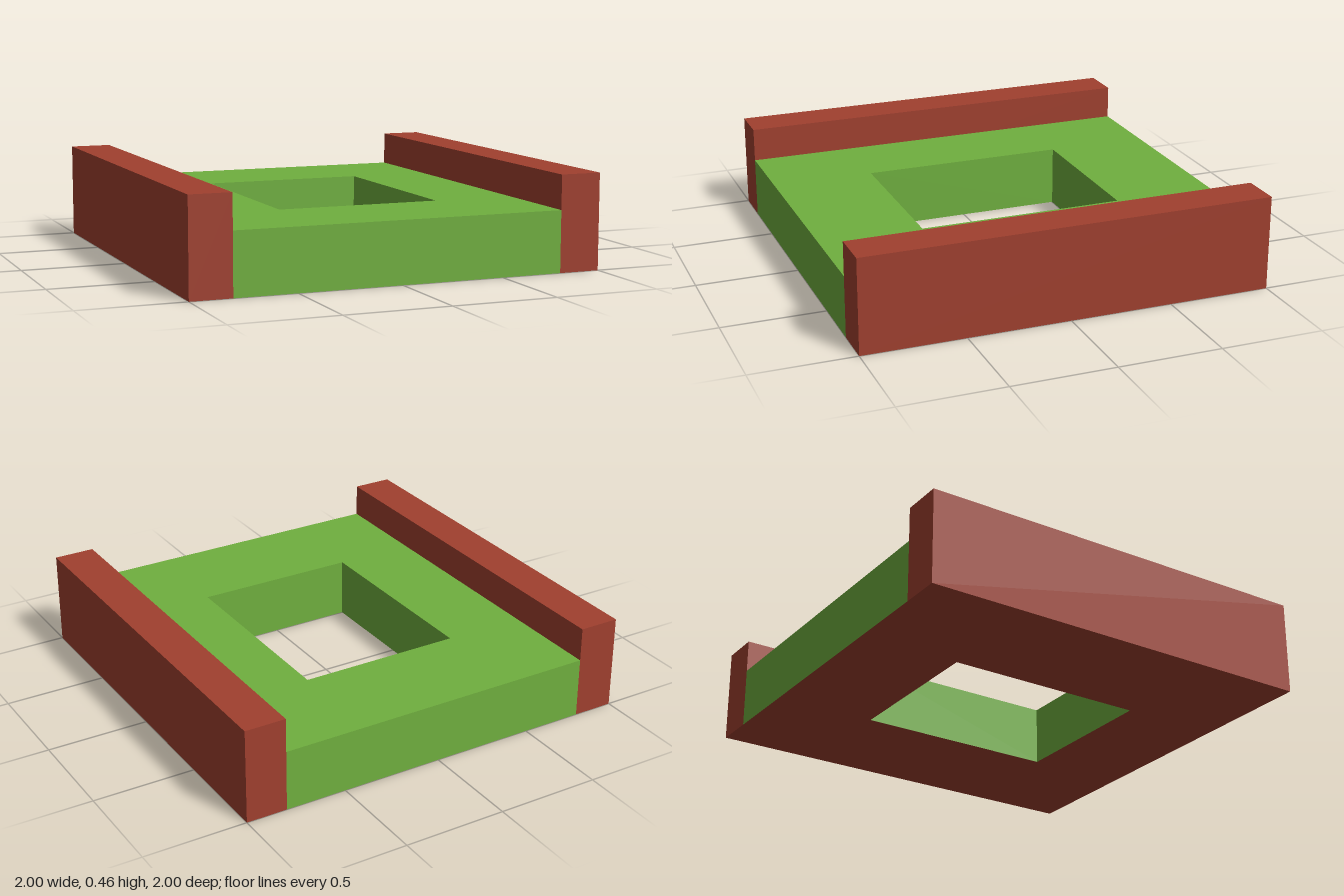
import * as THREE from 'three';

const green = new THREE.MeshStandardMaterial({ color: 0x70b03f, flatShading: true });
const red = new THREE.MeshStandardMaterial({ color: 0xa0402f, flatShading: true });

const DECK_HEIGHT = 0.295;
const RAIL_HEIGHT = 0.46;

// Closed rectangle of points centred on the origin
function rectangle(w, d) {
  return [[-1, -1], [1, -1], [1, 1], [-1, 1]].map(([x, y]) => new THREE.Vector2((x * w) / 2, (y * d) / 2));
}

// Green slab with a rectangular opening and a red underside
function createDeck() {
  const shape = new THREE.Shape(rectangle(1.6, 2));
  shape.holes.push(new THREE.Path(rectangle(0.8, 1).reverse()));
  const geometry = new THREE.ExtrudeGeometry(shape, { depth: DECK_HEIGHT, bevelEnabled: false });
  geometry.rotateX(-Math.PI / 2);

  // The first half of the cap triangles is the underside
  const half = geometry.groups[0].count / 2;
  const total = geometry.attributes.position.count;
  geometry.clearGroups();
  geometry.addGroup(0, half, 1);
  geometry.addGroup(half, total - half, 0);

  const deck = new THREE.Mesh(geometry, [green, red]);
  deck.name = 'deck';
  return deck;
}

export function createModel() {
  const model = new THREE.Group();
  model.name = 'railedDeck';
  model.add(createDeck());

  // Raised side rails
  for (const side of [-1, 1]) {
    const rail = new THREE.Mesh(new THREE.BoxGeometry(0.2, RAIL_HEIGHT, 2), red);
    rail.name = side > 0 ? 'leftRail' : 'rightRail';
    rail.position.set(side * 0.9, RAIL_HEIGHT / 2, 0);
    model.add(rail);
  }
  return model;
}
